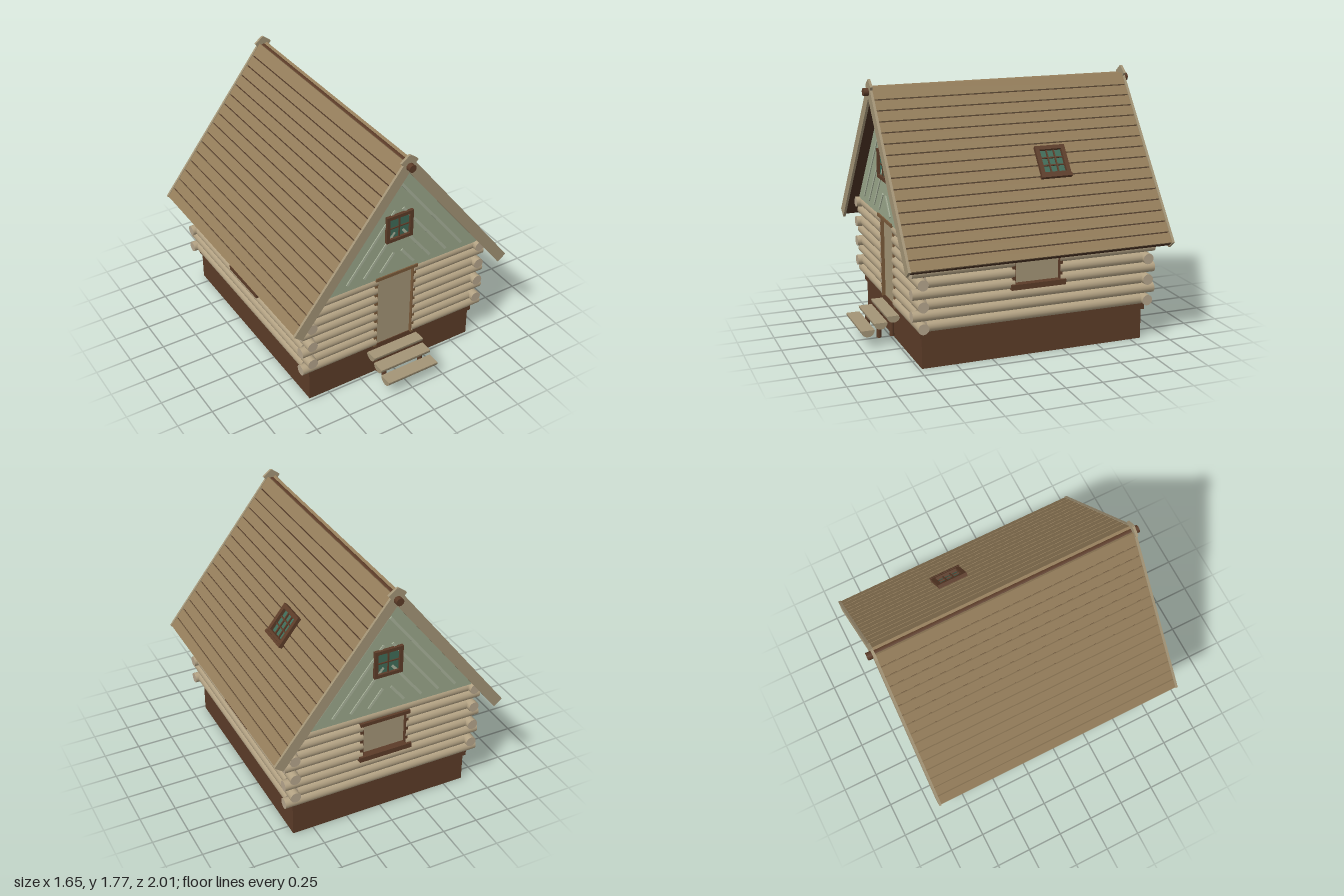
import * as THREE from 'three';

const mat = (color) => new THREE.MeshStandardMaterial({ color });
const M = {
  log: mat(0xb3a283), logEnd: mat(0xb5a58c), panel: mat(0xa39476), dark: mat(0x5c3c28),
  lintel: mat(0x7a5a3a), plank: mat(0x947d5a), under: mat(0x4a3222), gable: mat(0x9ba78b),
  batten: mat(0xa9b39b), glass: mat(0x3f6b58),
};
const CZ = -0.051;            // house centre along z
const PITCH = Math.atan(1.285); // roof slope

function add(parent, name, geo, material, x = 0, y = 0, z = 0) {
  const m = new THREE.Mesh(geo, material);
  m.name = name;
  m.position.set(x, y, z);
  parent.add(m);
  return m;
}

// box given by its min and max on each axis
function box(parent, name, material, x0, x1, y0, y1, z0, z1) {
  return add(parent, name, new THREE.BoxGeometry(x1 - x0, y1 - y0, z1 - z0), material,
    (x0 + x1) / 2, (y0 + y1) / 2, (z0 + z1) / 2);
}

function group(parent, name, rotY = 0, z = 0) {
  const g = new THREE.Group();
  g.name = name;
  g.rotation.y = rotY;
  g.position.z = z;
  parent.add(g);
  return g;
}

function log(parent, x0, x1, y, z) {
  const geo = new THREE.CylinderGeometry(0.0365, 0.0365, x1 - x0, 18).rotateZ(Math.PI / 2);
  add(parent, 'log', geo, [M.log, M.logEnd, M.logEnd], (x0 + x1) / 2, y, z);
}

// one log wall facing local +z, with a door or window opening
function wall(parent, name, rotY, d, long, short, firstLong, isDoor) {
  const g = group(parent, name, rotY, CZ);
  const half = isDoor ? 0.137 : 0.153;
  for (let k = 0; k < 8; k++) {
    const y = 0.29 + 0.0723 * k;
    const end = (k % 2 === 0) === firstLong ? long : short;
    const cut = isDoor || (k >= 3 && k <= 6);
    if (cut) {
      log(g, -end, -half - 0.006, y, d);
      log(g, half + 0.006, end, y, d);
    } else log(g, -end, end, y, d);
  }
  const y0 = isDoor ? 0.25 : 0.508, y1 = isDoor ? 0.813 : 0.745;
  box(g, isDoor ? 'door' : 'windowPanel', M.panel, -half, half, y0, y1, d - 0.015, d + 0.003);
  for (const s of [-1, 1]) {
    const x = s * (half + 0.011);
    box(g, 'jamb', isDoor ? M.lintel : M.dark, x - 0.011, x + 0.011, y0, y1, d - 0.026, d + 0.026);
  }
  if (isDoor) {
    box(g, 'lintel', M.lintel, -0.162, 0.162, 0.813, 0.836, d - 0.03, d + 0.042);
  } else {
    box(g, 'lintel', M.dark, -0.18, 0.18, 0.743, 0.768, d - 0.03, d + 0.04);
    box(g, 'windowSill', M.dark, -0.19, 0.19, 0.472, 0.508, d - 0.03, d + 0.052);
  }
}

// framed window facing +z, with evenly spaced glazing bars
function glazedWindow(parent, name, w, h, f, depth, bars) {
  const g = group(parent, name);
  const W = w / 2, H = h / 2;
  box(g, 'glass', M.glass, -W + f / 2, W - f / 2, -H + f / 2, H - f / 2, 0, depth * 0.4);
  for (const s of [-1, 1]) {
    const x = s * (W - f / 2), y = s * (H - f / 2);
    box(g, 'frameSide', M.dark, x - f / 2, x + f / 2, -H, H, 0, depth);
    box(g, 'frameRail', M.dark, -W + f, W - f, y - f / 2, y + f / 2, 0, depth);
  }
  for (let i = 1; i <= bars; i++) {
    const t = i / (bars + 1) - 0.5, x = t * (w - 2 * f), y = t * (h - 2 * f);
    box(g, 'bar', M.dark, x - 0.004, x + 0.004, -H + f, H - f, 0, depth * 0.7);
    box(g, 'bar', M.dark, -W + f, W - f, y - 0.004, y + 0.004, 0, depth * 0.65);
  }
  return g;
}

// green gable with chevron battens and a small window
function gable(parent, rotY) {
  const g = group(parent, 'gable', rotY, CZ);
  const shape = new THREE.Shape();
  shape.moveTo(-0.66, 0.845).lineTo(-0.645, 0.825).lineTo(0.645, 0.825).lineTo(0.66, 0.845).lineTo(0, 1.69);
  add(g, 'gableBoard', new THREE.ExtrudeGeometry(shape, { depth: 0.06, bevelEnabled: false }), M.gable, 0, 0, 0.76);
  for (let i = 0; i < 4; i++) {
    const foot = 0.508 - 0.127 * i;
    const x1 = i === 0 ? 0.01 : 0.03, len = (foot - x1) / Math.cos(PITCH);
    for (const s of [-1, 1]) {
      const b = add(g, 'batten', new THREE.BoxGeometry(len, 0.018, 0.012), M.batten,
        s * (foot + x1) / 2, 0.873 + (foot - x1) / 2 * 1.285, 0.82);
      b.rotation.z = -s * PITCH;
    }
  }
  glazedWindow(g, 'gableWindow', 0.2, 0.197, 0.024, 0.028, 1).position.set(0, 1.199, 0.814);
}

// one roof slope in a tilted frame: x runs down the slope, y is its outward normal
function roofSide(parent, rotY, hasSkylight) {
  const turn = group(parent, 'roofSide', rotY, CZ);
  const g = group(turn, 'slope');
  g.position.set(0.035, 1.718, 0);
  g.rotation.z = -PITCH;
  const L = 1.275, n = 16, step = L / n;
  box(g, 'roofDeck', M.under, 0, L, -0.05, -0.012, -0.899, 0.899);
  for (let i = 0; i < n; i++) {
    box(g, 'roofPlank', M.plank, i * step + (i ? 0.009 : -0.012), (i + 1) * step, -0.02, 0, -0.899, 0.899);
  }
  for (const s of [-1, 1]) {
    const z = s * 0.9075;
    box(g, 'bargeBoard', M.panel, -0.068, 1.28, -0.07, 0.004, z - 0.0085, z + 0.0085);
  }
  if (hasSkylight) {
    const w = glazedWindow(g, 'skylight', 0.21, 0.22, 0.028, 0.04, 2);
    w.rotation.set(-Math.PI / 2, 0, Math.PI / 2, 'YXZ');
    w.position.set(0.622, -0.014, -0.206);
    box(g, 'skylightSill', M.dark, 0.722, 0.742, -0.014, 0.03, -0.315, -0.097);
  }
}

// half-log treads on short posts
function steps(parent) {
  const g = group(parent, 'steps');
  const half = new THREE.Shape();
  half.absarc(0, 0, 0.046, Math.PI, Math.PI * 2, false);
  const geo = new THREE.ExtrudeGeometry(half, { depth: 0.394, bevelEnabled: false, curveSegments: 14 })
    .translate(0, 0, -0.197).rotateY(Math.PI / 2);
  [[0.134, 0.959], [0.176, 0.87], [0.214, 0.781]].forEach(([y, z], i) => {
    add(g, 'tread', geo, M.panel, 0, y, z);
    if (i === 0) return;
    for (const s of [-1, 1]) {
      add(g, 'stepPost', new THREE.CylinderGeometry(0.0165, 0.0165, y - 0.08, 12), M.dark,
        s * 0.144, 0.06 + (y - 0.08) / 2, z);
    }
  });
}

export function createModel() {
  const house = new THREE.Group();
  house.name = 'logCabin';

  // plinth and its trim
  box(house, 'plinth', M.dark, -0.643, 0.643, 0, 0.21, -0.827, 0.73);
  box(house, 'plinthTrim', M.dark, -0.655, 0.655, 0.21, 0.252, -0.845, 0.745);

  // walls: logs alternate long and short so the corners interlock
  wall(house, 'frontWall', 0, 0.787, 0.712, 0.62, true, true);
  wall(house, 'backWall', Math.PI, 0.787, 0.712, 0.62, true, false);
  for (const s of [-1, 1]) wall(house, 'sideWall', s * Math.PI / 2, 0.653, 0.85, 0.755, false, false);

  // gables and roof
  for (const r of [0, Math.PI]) {
    gable(house, r);
    roofSide(house, r, r === 0);
  }
  add(house, 'ridgePole', new THREE.CylinderGeometry(0.026, 0.026, 1.9, 16).rotateX(Math.PI / 2), M.dark, 0, 1.693, CZ);

  steps(house);
  return house;
}
